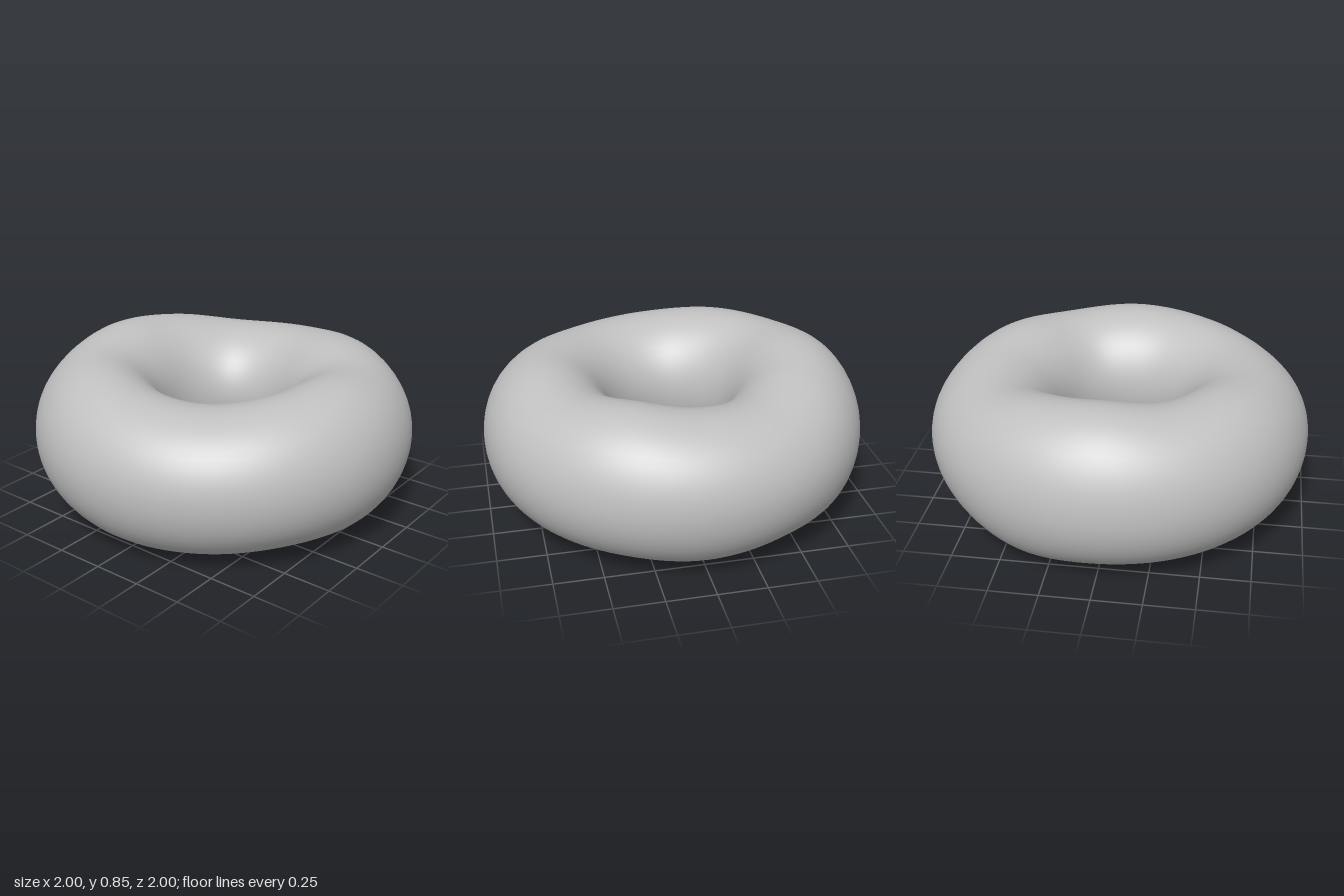
import * as THREE from 'three';
import { mergeVertices } from 'three/addons/utils/BufferGeometryUtils.js';

const RING = 0.652, TUBE = 0.346, MID = 0.42;

// Crest and underside heights every 30 degrees, from +x towards +z
const CREST = [0.78, 0.81, 0.787, 0.81, 0.79, 0.765, 0.78, 0.815, 0.82, 0.85, 0.82, 0.768];
const UNDERSIDE = [0.025, 0.045, 0.04, 0.033, 0.05, 0.035, 0.025, 0.032, 0.035, 0.03, 0, 0.04];

// Smooth closed height profile around the ring
function heightProfile(heights) {
  const points = heights.map((h) => new THREE.Vector3(0, h, 0));
  const curve = new THREE.CatmullRomCurve3(points, true, 'catmullrom', 0.5);
  return (turn) => curve.getPoint(turn).y;
}

export function createModel() {
  const group = new THREE.Group();
  group.name = 'ringDoughnut';
  const dough = new THREE.MeshStandardMaterial({ color: 0xc0c0c0 });
  dough.name = 'plain grey';

  const crest = heightProfile(CREST);
  const underside = heightProfile(UNDERSIDE);

  let geometry = new THREE.TorusGeometry(RING, TUBE, 48, 120);
  geometry.rotateX(Math.PI / 2);
  geometry.deleteAttribute('uv');
  geometry.deleteAttribute('normal');
  geometry = mergeVertices(geometry, 1e-4);

  // Stretch the tube to its uneven crest and underside, and nudge the hole off centre
  const position = geometry.attributes.position;
  for (let i = 0; i < position.count; i++) {
    const x = position.getX(i), z = position.getZ(i);
    const lift = position.getY(i) / TUBE;
    const turn = (Math.atan2(z, x) / (2 * Math.PI) + 1) % 1;
    const reach = lift > 0 ? crest(turn) - MID : MID - underside(turn);
    const inner = THREE.MathUtils.clamp((RING + TUBE - Math.hypot(x, z)) / (2 * TUBE), 0, 1);
    position.setXYZ(i, x - 0.007 * inner, MID + lift * reach, z + 0.007 * inner);
  }
  geometry.computeVertexNormals();

  const ring = new THREE.Mesh(geometry, dough);
  ring.name = 'doughRing';
  group.add(ring);
  return group;
}
